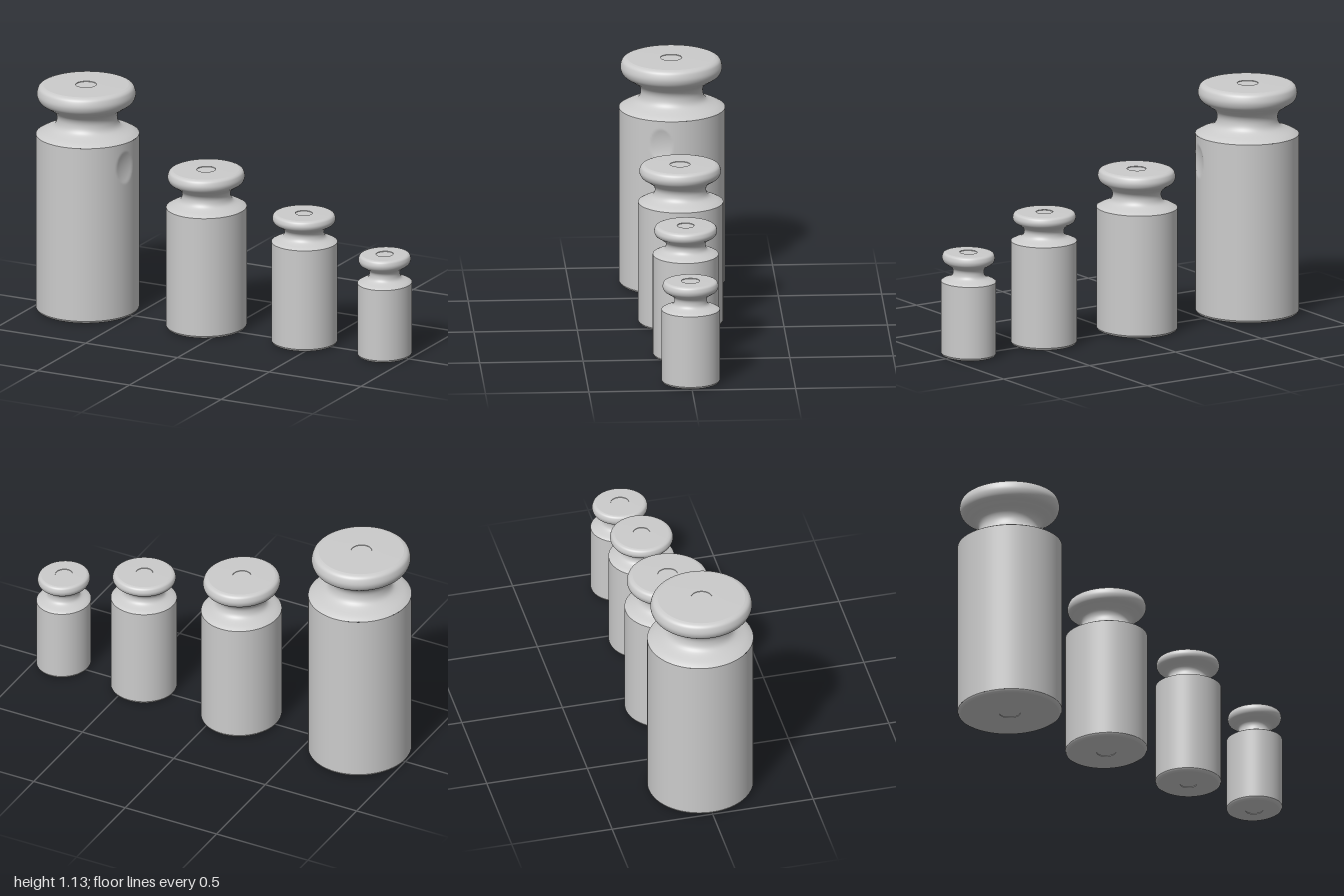
import * as THREE from 'three';

const SEGMENTS = 96;
const material = new THREE.MeshStandardMaterial({ color: 0xcccccc });

// x, z: centre; rx, rz: radii; body: shoulder height; top: full height
const WEIGHTS = [
  { name: 'largestWeight', x: -0.752, z: 0, rx: 0.248, rz: 0.257, body: 0.888, top: 1.135, neck: 0.585, ring: 0.05, lean: [-0.006, 0.004], dent: true },
  { name: 'largeWeight', x: -0.107, z: -0.006, rx: 0.192, rz: 0.206, body: 0.61, top: 0.798, neck: 0.6, ring: 0.045, lean: [0, 0.003] },
  { name: 'mediumWeight', x: 0.43, z: 0, rx: 0.16, rz: 0.159, body: 0.513, top: 0.655, neck: 0.6, ring: 0.041, lean: [-0.003, 0] },
  { name: 'smallWeight', x: 0.868, z: 0, rx: 0.13, rz: 0.141, body: 0.37, top: 0.513, neck: 0.56, ring: 0.041, lean: [0, 0.001] },
];

const v = (x, y) => new THREE.Vector2(x, y);

function lathe(name, points, segments = SEGMENTS) {
  const mesh = new THREE.Mesh(new THREE.LatheGeometry(points, segments), material);
  mesh.name = name;
  return mesh;
}

// Flat underside with a faint recessed disc and a small bevel; repeated points keep edges sharp
function makeBase(w) {
  const r = w.rx, b = 0.014, d = 0.003;
  return lathe('base', [
    v(0, d), v(w.ring, d), v(w.ring, d), v(w.ring, 0), v(w.ring, 0),
    v(r - b, 0), v(r - b, 0), v(r - b * 0.3, b * 0.35), v(r, b),
  ]);
}

// Straight cylinder wall; the largest one carries a shallow spherical thumb dent
function makeBody(w) {
  const rows = w.dent ? 120 : 1;
  const points = [];
  for (let i = 0; i <= rows; i++) points.push(v(w.rx, 0.014 + (w.body - 0.014) * i / rows));
  const mesh = lathe('body', points, w.dent ? 192 : SEGMENTS);
  if (w.dent) {
    const distance = 0.54, radius = 0.303, height = 0.767, angle = 0.26;
    const pos = mesh.geometry.attributes.position;
    for (let i = 0; i < pos.count; i++) {
      const a = Math.atan2(pos.getZ(i), pos.getX(i));
      const off = a - angle;
      const root = radius ** 2 - (pos.getY(i) - height) ** 2 - (distance * Math.sin(off)) ** 2;
      if (root <= 0 || Math.cos(off) < 0) continue;
      const r = Math.min(w.rx, distance * Math.cos(off) - Math.sqrt(root));
      pos.setX(i, r * Math.cos(a));
      pos.setZ(i, r * Math.sin(a));
    }
    mesh.geometry.computeVertexNormals();
  }
  return mesh;
}

// Concave shoulder, waist and rounded cap, leaning very slightly off centre
function makeKnob(w) {
  const n = w.neck, span = w.top - w.body;
  const profile = [
    [1, 0], [0.9, 0.055], [n + 0.07, 0.16], [n, 0.32], [n + 0.045, 0.47], [0.79, 0.59],
    [0.91, 0.68], [0.957, 0.8], [0.935, 0.92], [0.89, 0.975], [0.82, 1],
  ].map(([r, t]) => v(r * w.rx, w.body + t * span));
  const points = new THREE.SplineCurve(profile).getPoints(60);
  const y = w.top, d = 0.003;
  points.push(v(w.ring, y), v(w.ring, y), v(w.ring, y - d), v(w.ring, y - d), v(0, y - d));
  const mesh = lathe('neckAndCap', points);
  const pos = mesh.geometry.attributes.position;
  for (let i = 0; i < pos.count; i++) {
    const t = THREE.MathUtils.clamp((pos.getY(i) - w.body) / span, 0, 1);
    pos.setX(i, pos.getX(i) + w.lean[0] * t);
    pos.setZ(i, pos.getZ(i) + w.lean[1] * t);
  }
  return mesh;
}

export function createModel() {
  const model = new THREE.Group();
  model.name = 'calibrationWeights';
  for (const w of WEIGHTS) {
    const weight = new THREE.Group();
    weight.name = w.name;
    weight.add(makeBase(w), makeBody(w), makeKnob(w));
    weight.position.set(w.x, 0, w.z);
    weight.scale.z = w.rz / w.rx;
    model.add(weight);
  }
  return model;
}
